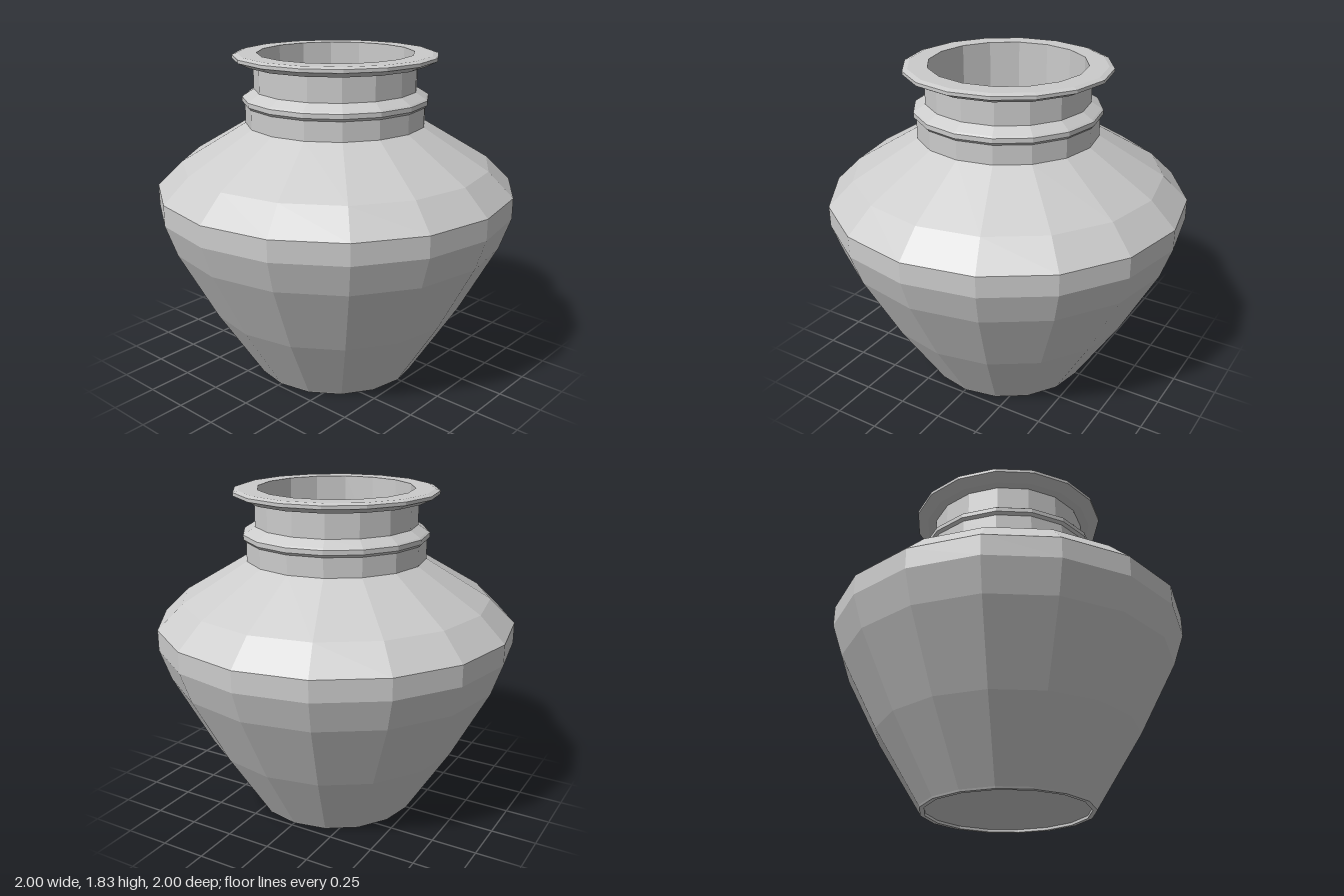
import * as THREE from 'three';

const SIDES = 16;

export function createModel() {
  const group = new THREE.Group();
  group.name = 'pot';
  const material = new THREE.MeshStandardMaterial({ color: 0xcccccc, flatShading: true });

  // Turn a [radius, height] profile into a faceted ring of surfaces
  const turn = (name, profile) => {
    const points = profile.map(([r, y]) => new THREE.Vector2(r, y));
    const mesh = new THREE.Mesh(new THREE.LatheGeometry(points, SIDES), material);
    mesh.name = name;
    group.add(mesh);
  };

  // Recessed underside and foot ring
  turn('foot', [[0, 0.015], [0.45, 0.015], [0.45, 0], [0.475, 0], [0.48, 0.01]]);

  // Belly and shoulder
  turn('body', [
    [0.48, 0.01], [0.73, 0.41], [0.94, 0.81], [1, 0.985],
    [1, 1.1], [0.86, 1.235], [0.5, 1.45],
  ]);

  // Neck with its raised bead
  turn('neck', [
    [0.5, 1.45], [0.5, 1.555], [0.515, 1.57], [0.515, 1.595],
    [0.505, 1.603], [0.45, 1.637], [0.45, 1.775],
  ]);

  // Flared lip
  turn('rim', [
    [0.45, 1.775], [0.5, 1.775], [0.563, 1.805], [0.563, 1.823],
    [0.535, 1.832], [0.43, 1.832],
  ]);

  // Hollow inside, running down from the lip to the floor
  turn('interior', [
    [0.43, 1.832], [0.43, 1.45], [0.83, 1.21], [0.965, 1.08], [0.965, 0.99],
    [0.905, 0.82], [0.695, 0.42], [0.46, 0.035], [0, 0.035],
  ]);

  return group;
}
